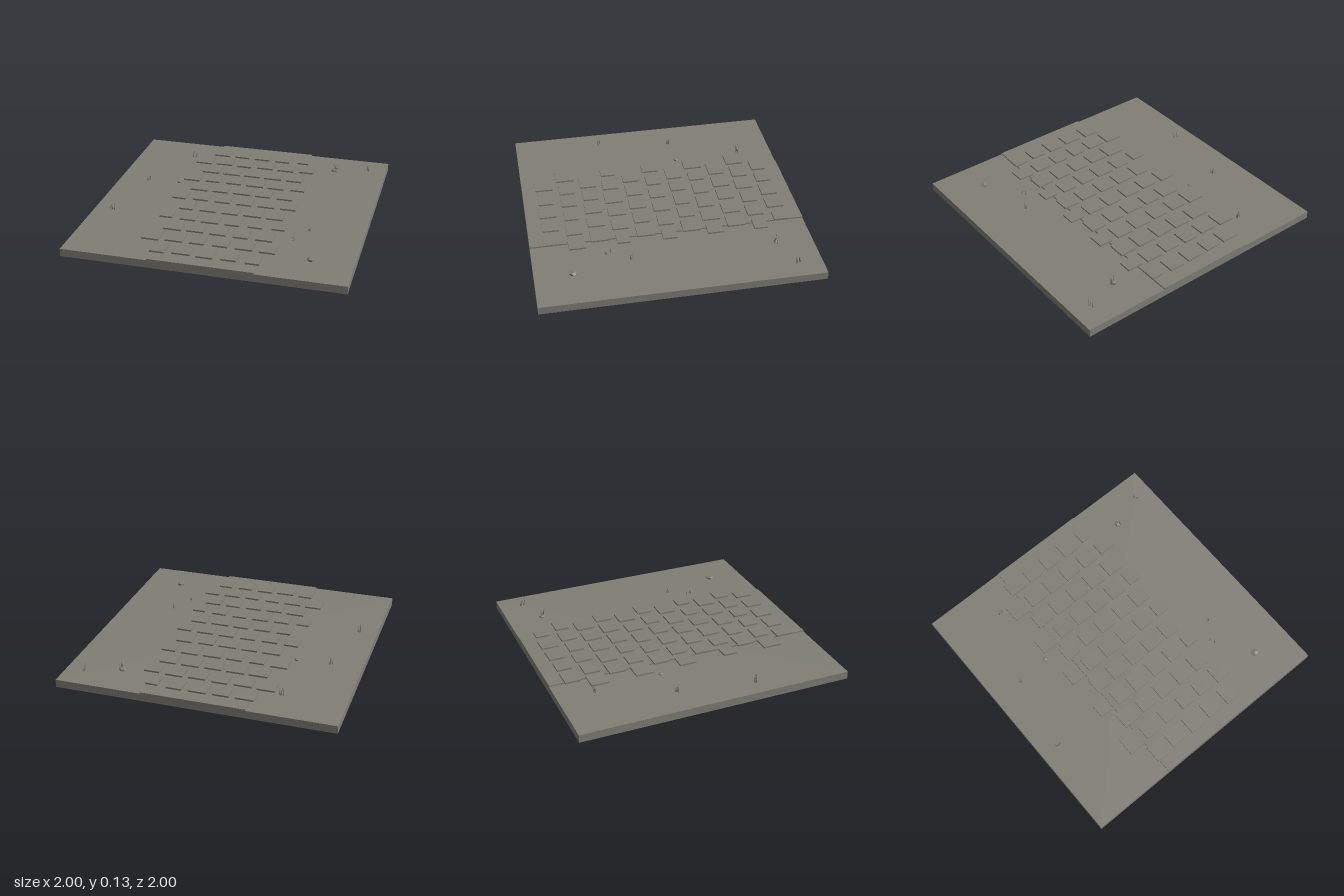
import * as THREE from 'three';

export function createModel() {
  const model = new THREE.Group();
  const stoneGrey = new THREE.MeshStandardMaterial({ color: 0x807e75, flatShading: true });
  stoneGrey.name = 'stoneGrey';

  let seed = 7;
  const rand = (a, b) => {
    seed = (seed * 16807) % 2147483647;
    return a + (b - a) * (seed / 2147483647);
  };

  const add = (parent, name, geometry, x, y, z) => {
    const mesh = new THREE.Mesh(geometry, stoneGrey);
    mesh.name = name;
    mesh.position.set(x, y, z);
    parent.add(mesh);
    return mesh;
  };

  // Ground tile and the raised bed of the path
  const groundY = 0.057, bedY = 0.067, stoneTop = 0.079;
  add(model, 'ground', new THREE.BoxGeometry(2, groundY, 2), 0, groundY / 2, 0);
  add(model, 'pathBed', new THREE.BoxGeometry(0.745, bedY - groundY, 2), 0, (groundY + bedY) / 2, 0);

  // Staggered paving: [left edge, left depth, right edge, right depth] of each row's end stones
  const rows = [
    [-0.40, 0.11, 0.38, 0.10], [-0.50, 0.13, 0.455, 0.10], [-0.40, 0.12, 0.395, 0.13],
    [-0.50, 0.135, 0.45, 0.115], [-0.40, 0.115, 0.395, 0.125], [-0.49, 0.125, 0.455, 0.105],
    [-0.385, 0.12, 0.395, 0.125], [-0.485, 0.1, 0.445, 0.095], [-0.40, 0.12, 0.395, 0.125],
    [-0.50, 0.135, 0.455, 0.12], [-0.385, 0.13, 0.385, 0.13],
  ];
  const paving = new THREE.Group();
  paving.name = 'pavingStones';
  model.add(paving);
  rows.forEach(([left, leftDepth, right, rightDepth], r) => {
    const odd = r % 2;
    const count = odd ? 6 : 5;
    const first = odd ? -0.4375 : -0.333;
    const z = (r - 5) * 0.167;
    for (let i = 0; i < count; i++) {
      const x = first + i * 0.167;
      let width = rand(0.105, 0.135), depth = rand(0.105, 0.13);
      if (i === 0) [width, depth] = [2 * (x - left), leftDepth];
      if (i === count - 1) [width, depth] = [2 * (right - x), rightDepth];
      add(paving, 'pavingStone', new THREE.BoxGeometry(width, stoneTop - bedY, depth), x, (stoneTop + bedY) / 2, z);
    }
  });

  // Small faceted rocks: x, z, radius
  for (const [x, z, r] of [[-0.525, -0.23, 0.019], [0.605, -0.74, 0.026], [0.705, 0.73, 0.029]]) {
    const rock = add(model, 'rock', new THREE.DodecahedronGeometry(r, 0), x, groundY + r * 0.45, z);
    rock.scale.y = 0.5;
    rock.rotation.y = x * 5;
  }

  // Grass tufts: x, z, half spread in x and z, tallest blade
  const tufts = [
    [-0.552, -0.735, 0.018, 0.012, 0.07], [0.86, -0.83, 0.01, 0.025, 0.07],
    [-0.77, -0.21, 0.016, 0.01, 0.055], [-0.865, 0.338, 0.02, 0.01, 0.068],
    [0.61, 0.31, 0.016, 0.009, 0.055], [0.528, 0.46, 0.01, 0.02, 0.042],
    [0.61, -0.735, 0.016, 0.012, 0.075],
  ];
  for (const [x, z, sx, sz, height] of tufts) {
    const tuft = new THREE.Group();
    tuft.name = 'grassTuft';
    tuft.position.set(x, groundY, z);
    model.add(tuft);
    for (let i = 0; i < 5; i++) {
      const h = height * (i === 0 ? 1 : rand(0.5, 0.9));
      const blade = new THREE.ConeGeometry(0.0035, h, 4).translate(0, h / 2, 0);
      const mesh = add(tuft, 'grassBlade', blade, rand(-sx, sx), 0, rand(-sz, sz));
      mesh.rotation.set(rand(-0.15, 0.15), 0, rand(-0.15, 0.15));
    }
  }
  return model;
}
